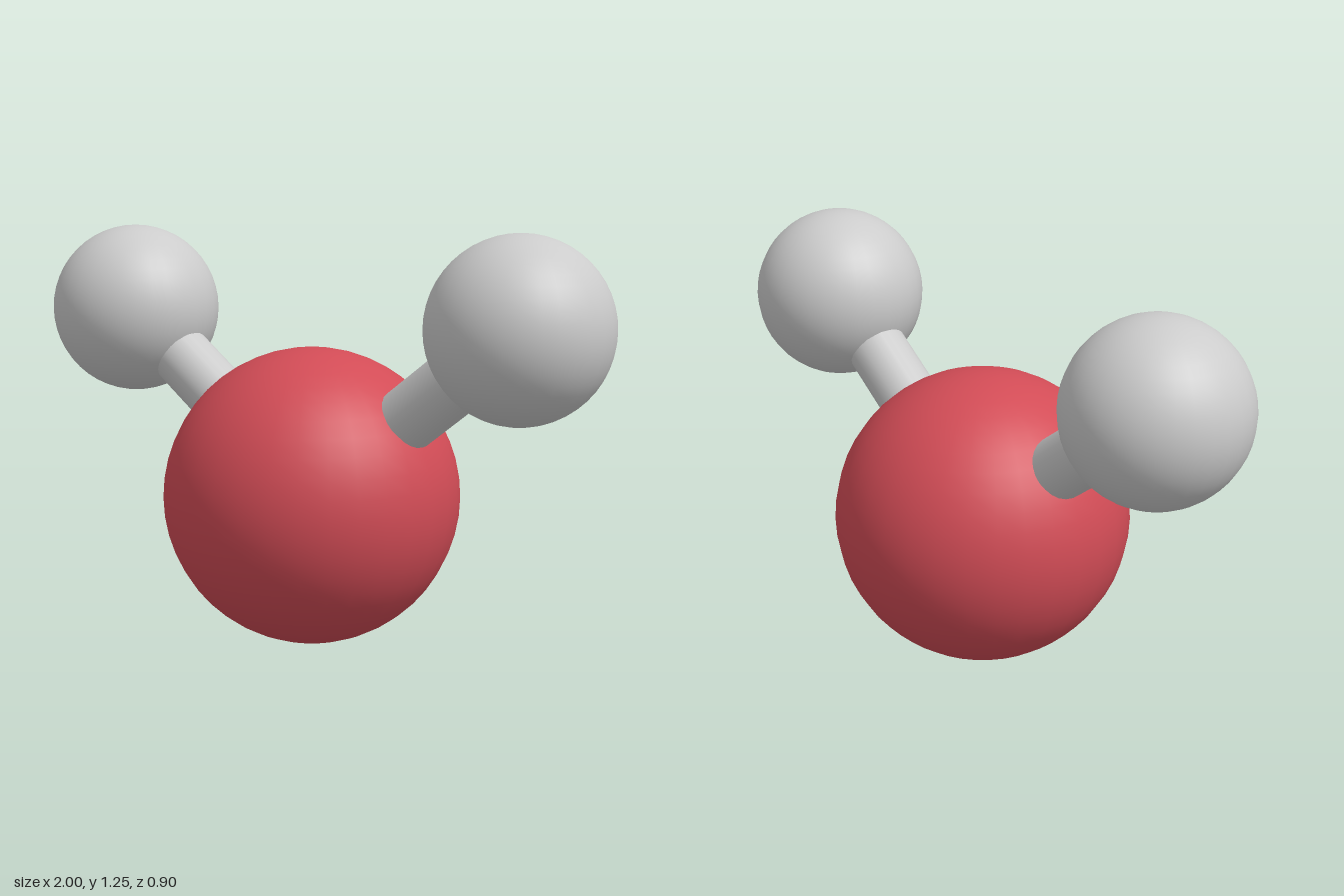
import * as THREE from 'three';

export function createModel() {
  const model = new THREE.Group();
  model.name = 'bentMolecule';
  const red = new THREE.MeshStandardMaterial({ color: 0xd24c56 });
  const grey = new THREE.MeshStandardMaterial({ color: 0xcccccc });

  const add = (name, geometry, material, position) => {
    const mesh = new THREE.Mesh(geometry, material);
    mesh.name = name;
    mesh.position.copy(position);
    model.add(mesh);
    return mesh;
  };

  // Large central atom
  const centre = new THREE.Vector3(0, 0.455, 0);
  add('centralAtom', new THREE.SphereGeometry(0.45, 32, 24), red, centre);

  // Two small atoms, each joined to the centre by a rod
  const up = new THREE.Vector3(0, 1, 0);
  for (const [side, sign] of [['left', 1], ['right', -1]]) {
    const end = new THREE.Vector3(sign * 0.733, 0.993, 0);
    add(side + 'Atom', new THREE.SphereGeometry(0.267, 32, 24), grey, end);

    const axis = end.clone().sub(centre);
    const rod = new THREE.CylinderGeometry(0.095, 0.095, axis.length(), 24);
    const bond = add(side + 'Bond', rod, grey, centre.clone().lerp(end, 0.5));
    bond.quaternion.setFromUnitVectors(up, axis.normalize());
  }
  return model;
}
